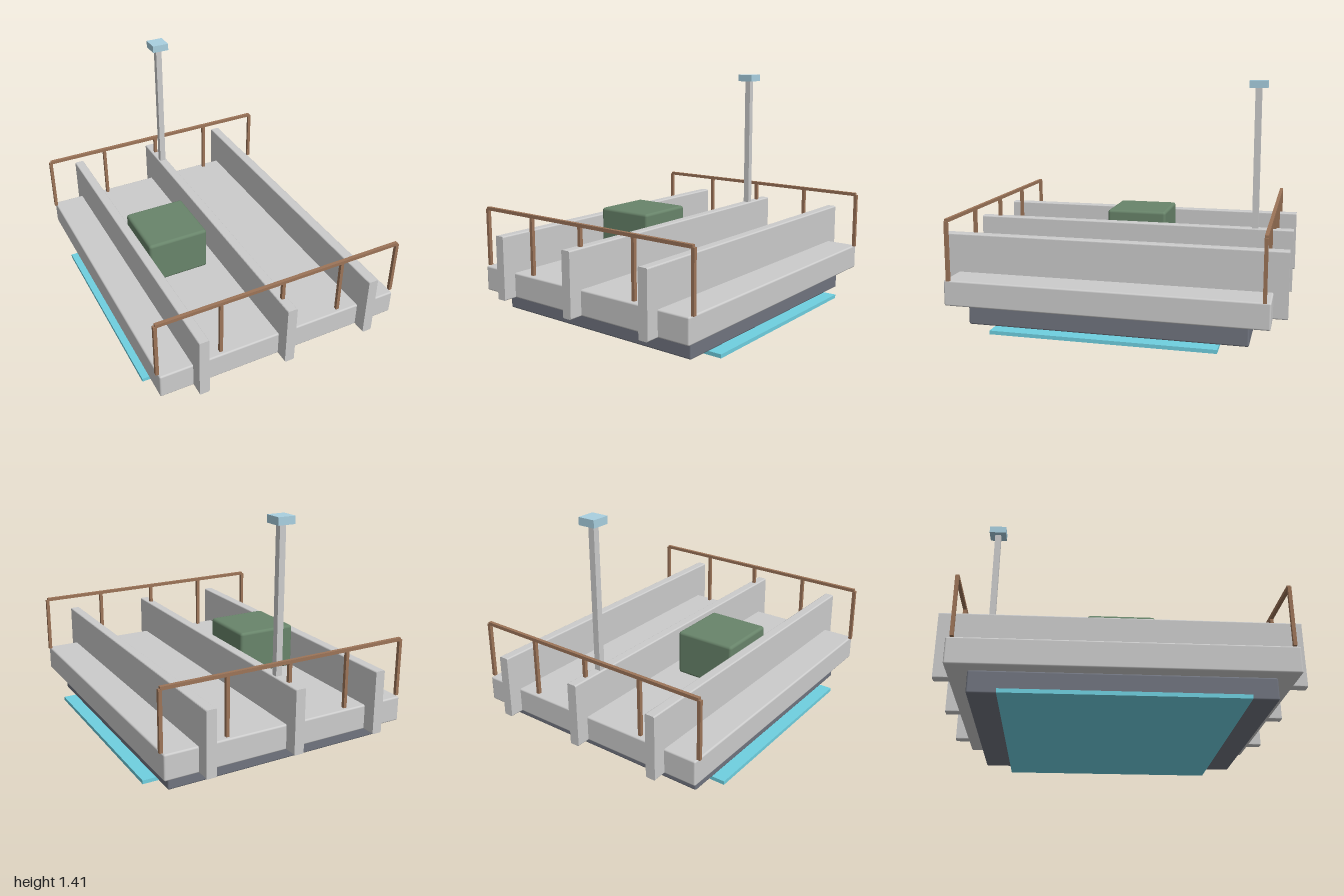
import * as THREE from 'three';
import { RoundedBoxGeometry } from 'three/addons/geometries/RoundedBoxGeometry.js';

const material = (color) => new THREE.MeshStandardMaterial({ color });

export function createModel() {
  const model = new THREE.Group();
  const grey = material(0xcccccc);
  const slate = material(0x70747f);
  const brown = material(0x9c7458);
  const green = material(0x68846a);
  const cyan = material(0x6fd0e0);
  const paleBlue = material(0xa9d0e0);

  // Box given by its size, centre x and z, and bottom height; optional rounded edges
  function box(name, mat, [w, h, d], [x, bottom, z], radius = 0, parent = model) {
    const geometry = radius
      ? new RoundedBoxGeometry(w, h, d, 3, radius)
      : new THREE.BoxGeometry(w, h, d);
    const mesh = new THREE.Mesh(geometry, mat);
    mesh.name = name;
    mesh.position.set(x, bottom + h / 2, z);
    parent.add(mesh);
    return mesh;
  }

  // Stacked platform: bottom panel, hull and deck
  box('bottomPanel', cyan, [1.53, 0.022, 1.29], [0, 0, 0]);
  box('hull', slate, [1.38, 0.125, 1.61], [0, 0.022, 0], 0.01);
  box('deck', grey, [1.53, 0.15, 1.84], [0, 0.147, 0], 0.01);

  // Long beams running through the deck, rounded only across their section
  const w = 0.03, h = 0.38, r = 0.008;
  const section = new THREE.Shape();
  section.moveTo(-w + r, 0);
  section.lineTo(w - r, 0);
  section.absarc(w - r, r, r, -Math.PI / 2, 0);
  section.absarc(w - r, h - r, r, 0, Math.PI / 2);
  section.absarc(-w + r, h - r, r, Math.PI / 2, Math.PI);
  section.absarc(-w + r, r, r, Math.PI, Math.PI * 1.5);
  const beamGeometry = new THREE.ExtrudeGeometry(section, { depth: 2, bevelEnabled: false, curveSegments: 3 });
  for (const x of [-0.538, 0, 0.538]) {
    const beam = new THREE.Mesh(beamGeometry, grey);
    beam.name = 'beam';
    beam.position.set(x, 0.147, -1);
    model.add(beam);
  }

  // Cargo box
  box('cargoBox', green, [0.38, 0.276, 0.38], [-0.31, 0.297, 0], 0.018);

  // Mast with lamp near the back
  box('mast', grey, [0.038, 1.075, 0.038], [0, 0.297, -0.77]);
  box('mastLamp', paleBlue, [0.106, 0.044, 0.106], [0, 1.37, -0.77]);

  // Railings at the front and back
  for (const [name, z] of [['frontRailing', 0.887], ['backRailing', -0.887]]) {
    const railing = new THREE.Group();
    railing.name = name;
    for (let i = -2; i <= 2; i++) {
      box('railPost', brown, [0.02, 0.345, 0.02], [i * 0.384, 0.297, z], 0, railing);
    }
    box('topRail', brown, [1.534, 0.02, 0.02], [0, 0.635, z], 0, railing);
    model.add(railing);
  }

  return model;
}
